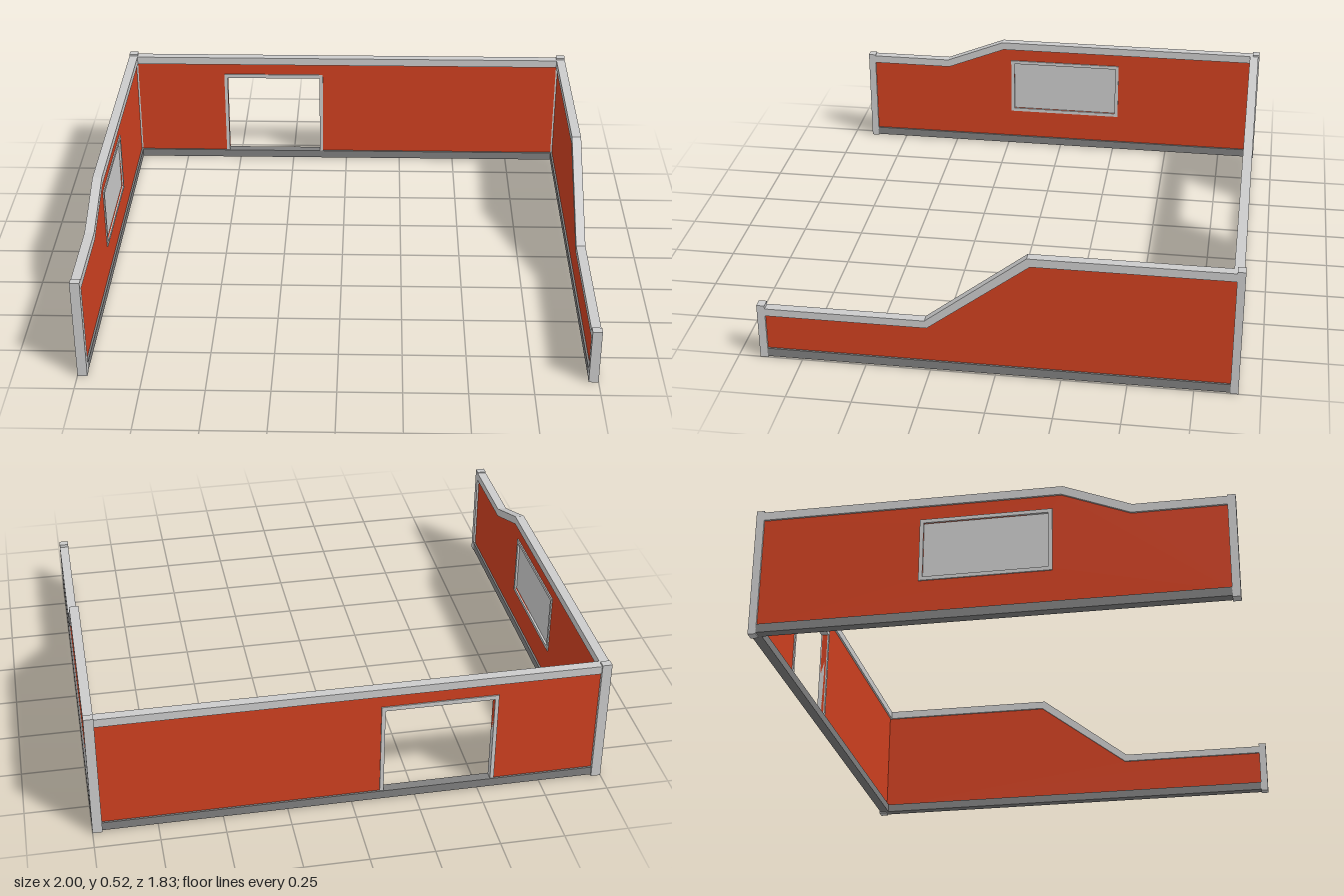
import * as THREE from 'three';

const grey = new THREE.MeshStandardMaterial({ color: 0xcccccc, flatShading: true });
const dark = new THREE.MeshStandardMaterial({ color: 0x808080, flatShading: true });
const red = new THREE.MeshStandardMaterial({ color: 0xcf4020, flatShading: true });

const RAIL = 0.038, PANEL = 0.022, AXIS = 0.981, BACK = -0.891;

// Extrude an outline centred on its own plane
function slab(name, points, depth, material, hole) {
  const shape = new THREE.Shape(points.map(([x, y]) => new THREE.Vector2(x, y)));
  if (hole) shape.holes.push(new THREE.Path(hole.map(([x, y]) => new THREE.Vector2(x, y))));
  const geometry = new THREE.ExtrudeGeometry(shape, { depth, bevelEnabled: false });
  geometry.translate(0, 0, -depth / 2);
  const mesh = new THREE.Mesh(geometry, material);
  mesh.name = name;
  return mesh;
}

const rect = (x0, x1, y0, y1) => [[x0, y0], [x1, y0], [x1, y1], [x0, y1]];

// One wall: panel, base rail and capping rail; profiles run along the wall
function wall(name, top, under, hole) {
  const group = new THREE.Group();
  group.name = name;
  const start = under[0][0], end = under[under.length - 1][0];
  group.add(
    slab('panel', [[end, 0.03], [start, 0.03], ...under], PANEL, red, hole),
    slab('baseRail', rect(Math.min(start, end), Math.max(start, end), 0.005, 0.04), RAIL, dark),
    slab('topRail', [...top, ...[...under].reverse()], RAIL, grey)
  );
  return group;
}

function post(name, x, z, height) {
  const mesh = new THREE.Mesh(new THREE.BoxGeometry(RAIL, height, 0.031), grey);
  mesh.position.set(x, height / 2, z);
  mesh.name = name;
  return mesh;
}

export function createModel() {
  const model = new THREE.Group();
  model.name = 'threeSidedWall';

  // Back wall with doorway
  const back = wall('backWall',
    [[-0.962, 0.518], [0.962, 0.518]], [[-0.962, 0.484], [0.962, 0.484]],
    rect(-0.55, -0.125, 0.038, 0.415));
  back.add(slab('doorFrame',
    [[-0.565, 0.04], [-0.55, 0.04], [-0.55, 0.415], [-0.125, 0.415], [-0.125, 0.04],
      [-0.11, 0.04], [-0.11, 0.433], [-0.565, 0.433]], 0.032, grey));
  back.position.z = BACK;
  model.add(back);

  // Left wall, stepping down low towards the front
  const left = wall('leftWall',
    [[-0.886, 0.518], [-0.12, 0.518], [0.268, 0.217], [0.886, 0.217]],
    [[-0.886, 0.484], [-0.132, 0.484], [0.26, 0.186], [0.886, 0.186]]);
  left.position.x = AXIS;

  // Right wall, with a smaller step and a window
  const right = wall('rightWall',
    [[-0.886, 0.518], [0.275, 0.518], [0.535, 0.415], [0.886, 0.415]],
    [[-0.886, 0.484], [0.27, 0.484], [0.53, 0.381], [0.886, 0.381]],
    rect(-0.255, 0.22, 0.185, 0.413));
  right.add(
    slab('windowFrame', rect(-0.27, 0.235, 0.17, 0.428), 0.032, grey, rect(-0.255, 0.22, 0.185, 0.413)),
    slab('windowPane', rect(-0.256, 0.221, 0.184, 0.414), 0.014, grey)
  );
  right.position.x = -AXIS;

  for (const side of [left, right]) {
    side.rotation.y = -Math.PI / 2;
    model.add(side);
  }

  // Corner and end posts
  model.add(
    post('backLeftPost', AXIS, -0.9, 0.525),
    post('backRightPost', -AXIS, -0.9, 0.525),
    post('frontLeftPost', AXIS, 0.9, 0.23),
    post('frontRightPost', -AXIS, 0.9, 0.42)
  );
  return model;
}
